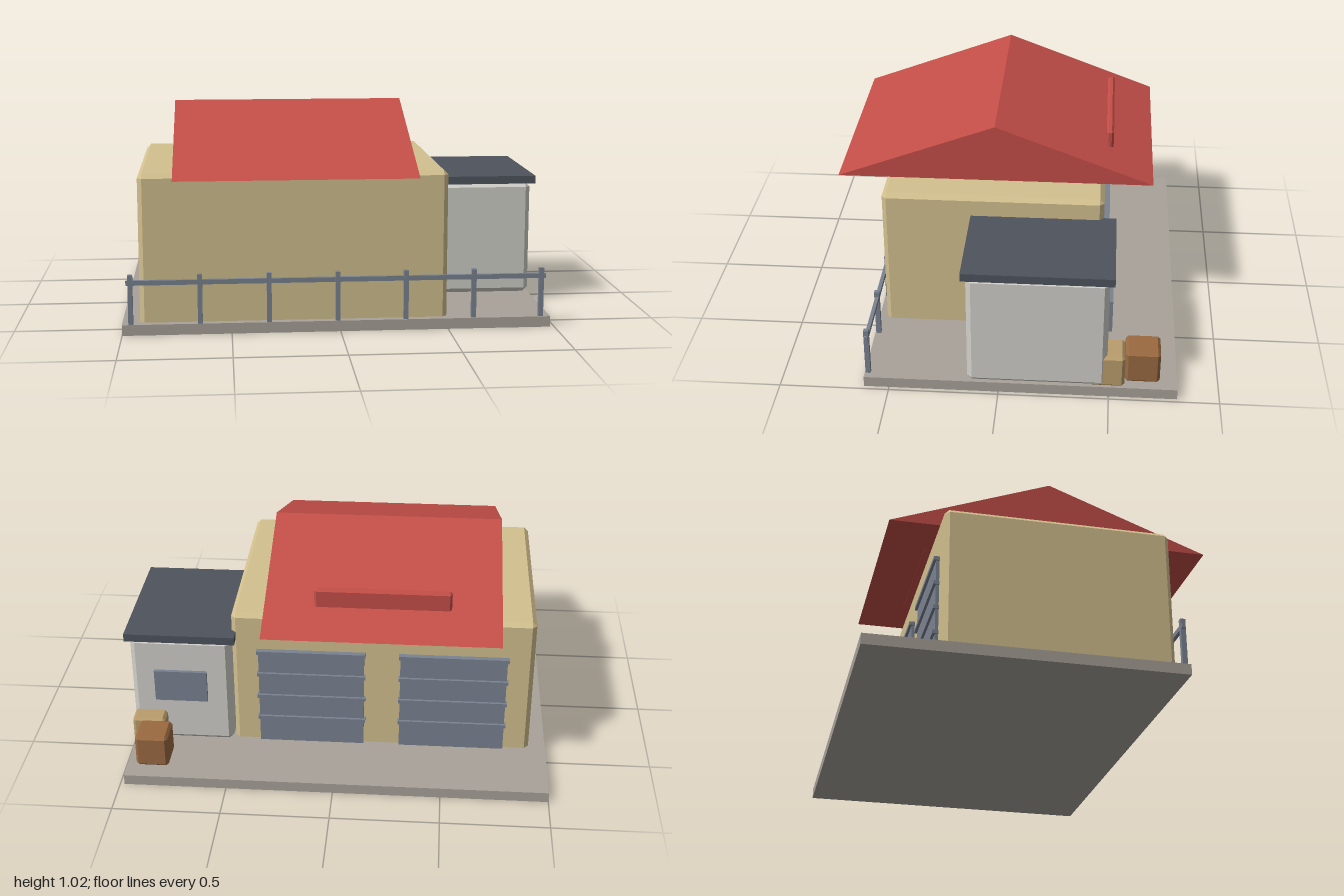
import * as THREE from 'three';
import { ConvexGeometry } from 'three/addons/geometries/ConvexGeometry.js';

const material = (name, color) => {
  const m = new THREE.MeshStandardMaterial({ color });
  m.name = name;
  return m;
};

// Box with single-segment chamfers: each corner becomes three points
function chamferBox(w, h, d, c) {
  const half = [w / 2, h / 2, d / 2];
  const points = [];
  for (const sx of [-1, 1]) for (const sy of [-1, 1]) for (const sz of [-1, 1]) {
    for (let full = 0; full < 3; full++) {
      const p = half.map((v, i) => (i === full ? v : v - c));
      points.push(new THREE.Vector3(p[0] * sx, p[1] * sy, p[2] * sz));
    }
  }
  return new ConvexGeometry(points);
}

export function createModel() {
  const concrete = material('concrete', 0xa8a299);
  const sandWall = material('sand wall', 0xd3c08f);
  const redRoof = material('red roof', 0xc44e48);
  const paleWall = material('pale wall', 0xd0cfc9);
  const darkSlab = material('dark slab', 0x4e535d);
  const steel = material('steel', 0x7b8391);
  const brownWood = material('brown wood', 0x9a6a41);
  const tanWood = material('tan wood', 0xb99d6c);

  const model = new THREE.Group();
  model.name = 'depot';

  // Box from its min/max extents, optionally chamfered
  function block(name, mat, [x0, x1], [y0, y1], [z0, z1], chamfer = 0, parent = model) {
    const size = [x1 - x0, y1 - y0, z1 - z0];
    const geometry = chamfer ? chamferBox(...size, chamfer) : new THREE.BoxGeometry(...size);
    const mesh = new THREE.Mesh(geometry, mat);
    mesh.name = name;
    mesh.position.set((x0 + x1) / 2, (y0 + y1) / 2, (z0 + z1) / 2);
    parent.add(mesh);
    return mesh;
  }

  function group(name) {
    const g = new THREE.Group();
    g.name = name;
    model.add(g);
    return g;
  }

  // Ground slab and main hall
  block('groundSlab', concrete, [-1, 0.98], [0, 0.05], [-0.81, 0.615]);
  block('hall', sandWall, [-0.92, 0.5], [0.025, 0.738], [-0.455, 0.578], 0.021);

  // Gabled roof: triangle in z/y, extruded along x
  const gable = new THREE.Shape([
    new THREE.Vector2(-0.805, 0.74),
    new THREE.Vector2(0.68, 0.74),
    new THREE.Vector2(-0.0625, 1.018),
  ]);
  const roofGeometry = new THREE.ExtrudeGeometry(gable, { depth: 1.09, bevelEnabled: false });
  roofGeometry.rotateY(Math.PI / 2); // shape x becomes -z, depth becomes +x
  const roof = new THREE.Mesh(roofGeometry, redRoof);
  roof.name = 'gableRoof';
  roof.position.x = -0.755;
  model.add(roof);
  block('roofBar', redRoof, [-0.525, 0.105], [0.735, 0.9], [-0.49, -0.455], 0.01);

  // Side office with flat roof and rear window
  block('office', paleWall, [0.505, 0.98], [0.05, 0.605], [-0.49, 0.143], 0.023);
  block('officeRoof', darkSlab, [0.48, 1], [0.602, 0.64], [-0.512, 0.163]);
  block('officeWindow', steel, [0.62, 0.87], [0.28, 0.44], [-0.507, -0.485]);

  // Two slatted garage doors on the back wall
  for (const cx of [-0.545, 0.125]) {
    const door = group('garageDoor');
    block('doorPanel', steel, [cx - 0.25, cx + 0.25], [0.05, 0.55], [-0.47, -0.45], 0, door);
    for (let i = 0; i < 4; i++) {
      const y = 0.185 + i * 0.12;
      block('doorSlat', steel, [cx - 0.257, cx + 0.257], [y - 0.009, y + 0.009], [-0.482, -0.452], 0, door);
    }
  }

  // Front fence: seven posts and one rail
  const fence = group('fence');
  for (let i = 0; i < 7; i++) {
    const x = -0.96 + i * 0.316;
    block('fencePost', steel, [x - 0.011, x + 0.011], [0.05, 0.28], [0.588, 0.611], 0, fence);
  }
  block('fenceRail', steel, [-0.98, 0.957], [0.232, 0.254], [0.59, 0.607], 0, fence);

  // Crates behind the office
  block('brownCrate', brownWood, [0.782, 0.936], [0.05, 0.21], [-0.73, -0.572], 0.013);
  block('tanCrate', tanWood, [0.82, 0.976], [0.05, 0.21], [-0.57, -0.413], 0.013);

  return model;
}
